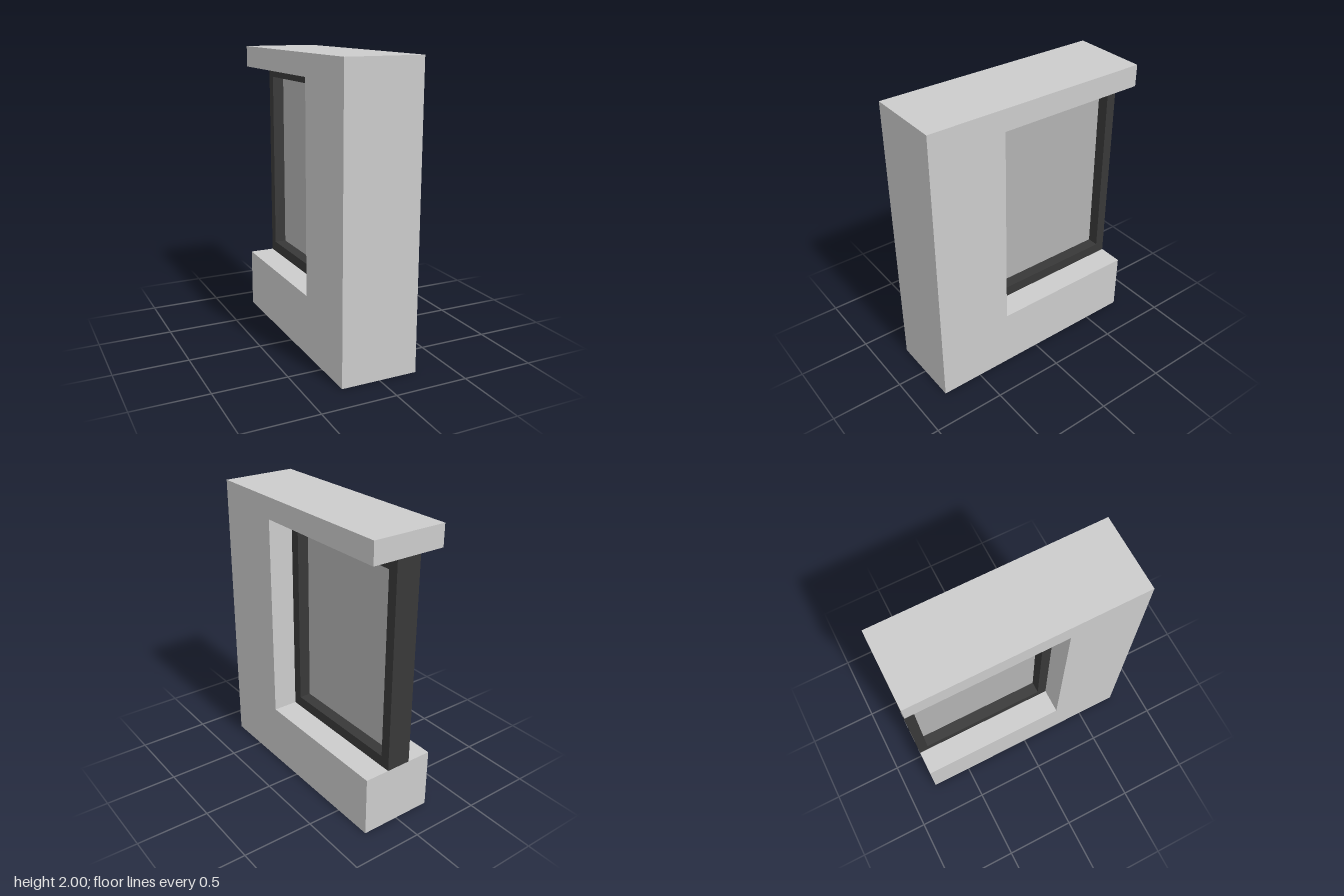
import * as THREE from 'three';

const WALL = { depth: 0.525, back: -0.789, front: 0.789, top: 2 };
const OPEN = { back: -0.789, front: 0.262, bottom: 0.421, top: 1.852 };
const FRAME = { depth: 0.175, side: 0.069, rail: 0.076 };
const GLASS_DEPTH = 0.012;

// Outline in (-z, y), extruded along x and centred on x = 0
function slab(name, shape, depth, color) {
  const geometry = new THREE.ExtrudeGeometry(shape, { depth, bevelEnabled: false });
  geometry.translate(0, 0, -depth / 2);
  geometry.rotateY(Math.PI / 2);
  const mesh = new THREE.Mesh(geometry, new THREE.MeshStandardMaterial({ color }));
  mesh.name = name;
  return mesh;
}

const outline = (points) => points.map(([z, y]) => new THREE.Vector2(-z, y));

const rectangle = (z0, z1, y0, y1) => outline([[z1, y0], [z0, y0], [z0, y1], [z1, y1]]);

export function createModel() {
  const group = new THREE.Group();
  group.name = 'windowWall';

  // Wall: C-shaped, its opening running out through the back end
  const wall = new THREE.Shape(outline([
    [WALL.front, 0], [WALL.back, 0],
    [OPEN.back, OPEN.bottom], [OPEN.front, OPEN.bottom],
    [OPEN.front, OPEN.top], [OPEN.back, OPEN.top],
    [WALL.back, WALL.top], [WALL.front, WALL.top],
  ]));
  group.add(slab('wall', wall, WALL.depth, 0xcccccc));

  // Dark frame in the middle of the wall thickness
  const inner = [
    OPEN.back + FRAME.side, OPEN.front - FRAME.side,
    OPEN.bottom + FRAME.rail, OPEN.top - FRAME.rail,
  ];
  const frame = new THREE.Shape(rectangle(OPEN.back, OPEN.front, OPEN.bottom, OPEN.top));
  frame.holes.push(new THREE.Path(rectangle(...inner)));
  group.add(slab('windowFrame', frame, FRAME.depth, 0x383838));

  // Thin pane filling the frame
  group.add(slab('windowPane', new THREE.Shape(rectangle(...inner)), GLASS_DEPTH, 0xb2b2b2));

  return group;
}
